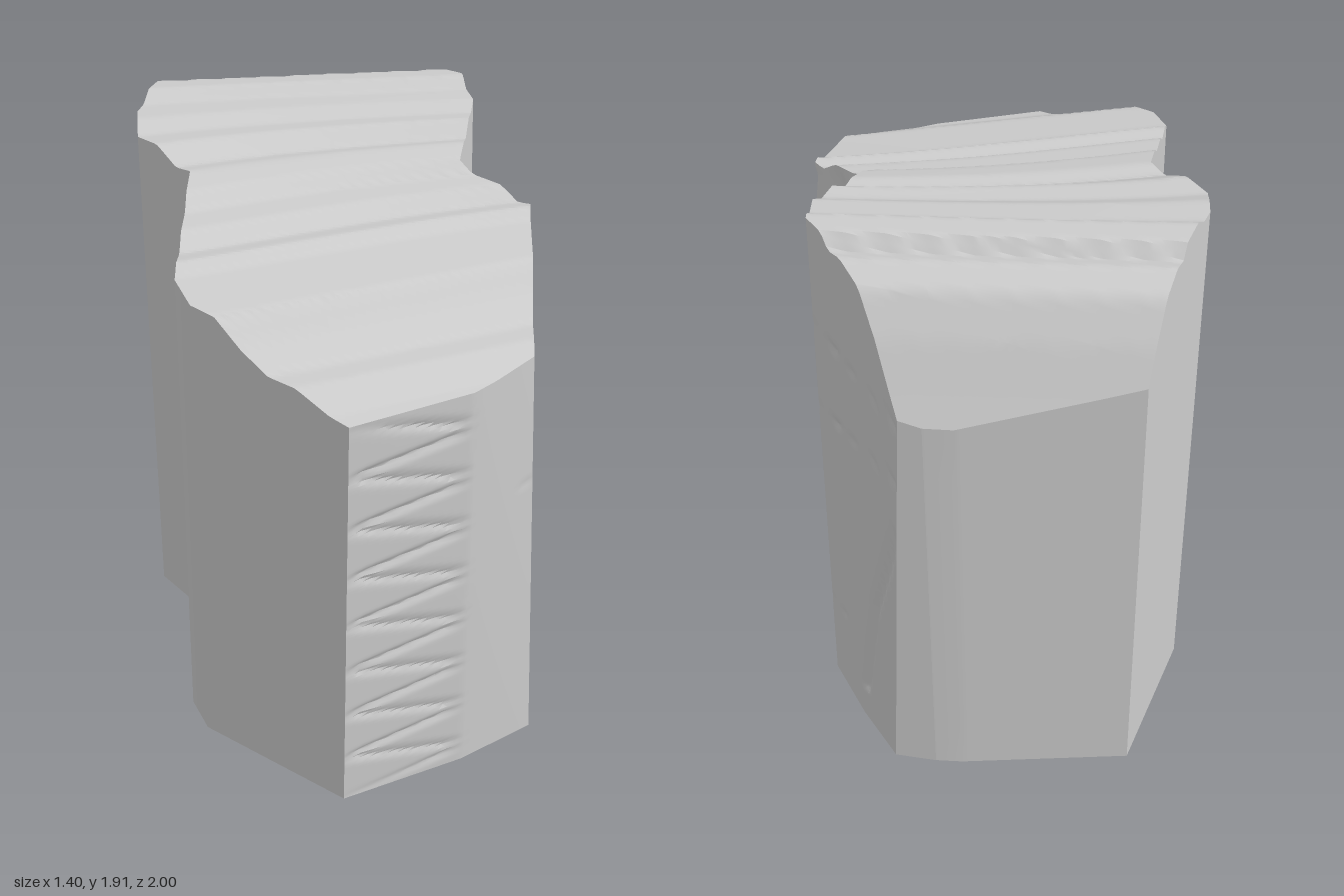
import * as THREE from 'three';
import { toCreasedNormals } from 'three/addons/utils/BufferGeometryUtils.js';

// Plan outline, front to back: [z, x at the base, x at the top]
const LEFT_OUTLINE = [
  [1, 0.02, 0.03], [0.66, -0.45, -0.43], [0.53, -0.51, -0.485], [0.02, -0.5, -0.47],
  [-0.2, -0.68, -0.66], [-0.36, -0.7, -0.675], [-0.87, -0.58, -0.56], [-0.99, -0.03, -0.03], [-1, 0.06, 0.06],
];
const RIGHT_OUTLINE = [
  [1, 0.02, 0.03], [0.82, 0.42, 0.4], [0.66, 0.67, 0.59], [0.03, 0.7, 0.64], [-0.14, 0.48, 0.42],
  [-0.48, 0.55, 0.49], [-0.65, 0.5, 0.46], [-0.84, 0.35, 0.27], [-1, 0.2, 0.13],
];
// Stepped strata of the top: [distance towards the front, height]
const STRATA = [
  [1.05, 1.43], [0.95, 1.45], [0.84, 1.5], [0.75, 1.505], [0.66, 1.56], [0.57, 1.64], [0.45, 1.655],
  [0.33, 1.67], [0.28, 1.70], [0.2, 1.69], [0.13, 1.735], [0.02, 1.745], [-0.04, 1.79], [-0.14, 1.81],
  [-0.2, 1.80], [-0.28, 1.85], [-0.36, 1.845], [-0.42, 1.875], [-0.52, 1.88], [-0.57, 1.915],
  [-0.66, 1.91], [-0.69, 1.865], [-0.74, 1.875], [-0.82, 1.83], [-0.89, 1.71], [-0.95, 1.57], [-1, 1.46],
];
// Upright cracks in the right wall as [z, y] paths
const CRACKS = [
  [[0.04, 1.66], [0.08, 1.35], [0.16, 1.05], [0.22, 0.7], [0.28, 0.2]],
  [[-0.04, 1.78], [-0.1, 1.3], [-0.12, 0.9], [-0.18, 0.4]],
  [[0, 1.05], [0.05, 0.75]],
  [[-0.46, 1.42], [-0.58, 1.17]],
  [[-1, 1.05], [-0.9, 0.6], [-0.85, 0.15]],
];
// Broken bedding lines in the right wall
const BEDDING = [
  [[0.67, 1.03], [0.3, 1.05], [0.1, 1.1]], [[-0.17, 1.13], [-0.5, 1.21], [-1, 1.25]],
  [[0.2, 0.74], [-0.1, 0.7]], [[-0.2, 0.67], [-0.62, 0.65]], [[0.57, 0.31], [0, 0.34]],
  [[-0.33, 0.33], [-0.72, 0.37]], [[-0.1, 1.57], [-0.6, 1.55], [-1, 1.46]],
];
// Zigzag of wedge-shaped cuts down the front face
const WEDGES = [];
for (let k = 0; k < 8; k++) {
  const y = k * 0.18;
  WEDGES.push([[1, y], [0.84, y + 0.05]], [[1, y + 0.18], [0.84, y + 0.09]]);
}

// Linear lookup in a table whose first column decreases
function lookup(table, key, column) {
  let i = 1;
  while (i < table.length - 1 && key < table[i][0]) i++;
  const a = table[i - 1], b = table[i];
  const t = THREE.MathUtils.clamp((a[0] - key) / (a[0] - b[0]), 0, 1);
  return THREE.MathUtils.lerp(a[column], b[column], t);
}

// Strata run askew, more so towards the front
function topHeight(x, z) {
  const skew = 0.12 + 0.28 * THREE.MathUtils.smoothstep(z, -0.6, 0.3);
  return lookup(STRATA, z + skew * x, 1);
}

function distanceToPath(path, z, y) {
  let best = 9;
  for (let i = 1; i < path.length; i++) {
    const [az, ay] = path[i - 1], dz = path[i][0] - az, dy = path[i][1] - ay;
    const t = THREE.MathUtils.clamp(((z - az) * dz + (y - ay) * dy) / (dz * dz + dy * dy), 0, 1);
    best = Math.min(best, Math.hypot(z - az - t * dz, y - ay - t * dy));
  }
  return best;
}

// How far the right wall is cut in at a point
function cutDepth(z, y) {
  const groove = (paths, width) => {
    const d = Math.min(...paths.map((p) => distanceToPath(p, z, y)));
    return Math.exp(-((d / width) ** 2));
  };
  const broken = Math.max(0, Math.sin(z * 75) * 0.6 + Math.sin(z * 31) * 0.4);
  return 0.022 * groove(CRACKS, 0.013) + 0.014 * broken * groove(BEDDING, 0.014)
    + 0.022 * groove(WEDGES, 0.012);
}

// Grid surface; it faces along (step in i) x (step in j)
function surface(name, ni, nj, point, crease) {
  const positions = [], index = [];
  for (let i = 0; i <= ni; i++) {
    for (let j = 0; j <= nj; j++) {
      positions.push(...point(i, j / nj));
      if (i < ni && j < nj) {
        const a = i * (nj + 1) + j, b = a + nj + 1;
        index.push(a, b, b + 1, a, b + 1, a + 1);
      }
    }
  }
  const geometry = new THREE.BufferGeometry();
  geometry.setAttribute('position', new THREE.Float32BufferAttribute(positions, 3));
  geometry.setIndex(index);
  const mesh = new THREE.Mesh(
    toCreasedNormals(geometry, crease),
    new THREE.MeshStandardMaterial({ color: 0xcccccc, roughness: 0.9 }),
  );
  mesh.name = name;
  return mesh;
}

export function createModel() {
  const group = new THREE.Group();
  group.name = 'cliffRock';

  // Rows from front to back, with every outline corner included
  const zs = new Set([...LEFT_OUTLINE, ...RIGHT_OUTLINE].map((p) => p[0]));
  for (let i = 0; i <= 140; i++) zs.add(Number((1 - i / 70).toFixed(4)));
  const rows = [...zs].sort((a, b) => b - a);
  const n = rows.length - 1;
  const { lerp } = THREE.MathUtils;

  const wallPoint = (outline, z, t) => {
    const xTop = lookup(outline, z, 2);
    return [lerp(lookup(outline, z, 1), xTop, t), topHeight(xTop, z) * t, z];
  };

  // Cracked right wall, with its rims left uncut
  group.add(surface('crackedRightWall', n, 130, (i, t) => {
    const p = wallPoint(RIGHT_OUTLINE, rows[i], t);
    const fade = Math.min(1, 25 * t, 25 * (1 - t), 40 * (1 - Math.abs(p[2])));
    p[0] -= fade * cutDepth(p[2], p[1]);
    return p;
  }, 0.5));

  // Plain left wall
  group.add(surface('smoothLeftWall', n, 8, (i, t) => wallPoint(LEFT_OUTLINE, rows[i], 1 - t), 0.35));

  // Rippled top
  group.add(surface('stratifiedTop', n, 60, (i, t) => {
    const z = rows[i];
    const x = lerp(lookup(RIGHT_OUTLINE, z, 2), lookup(LEFT_OUTLINE, z, 2), t);
    return [x, topHeight(x, z), z];
  }, 0.6));

  // Flat underside
  group.add(surface('underside', n, 1, (i, t) => {
    const z = rows[i];
    return [lerp(lookup(LEFT_OUTLINE, z, 1), lookup(RIGHT_OUTLINE, z, 1), t), 0, z];
  }, 0.3));

  // Narrow rear face
  group.add(surface('rearFace', 1, 8, (i, t) => wallPoint(i ? LEFT_OUTLINE : RIGHT_OUTLINE, -1, t), 0.3));

  return group;
}
